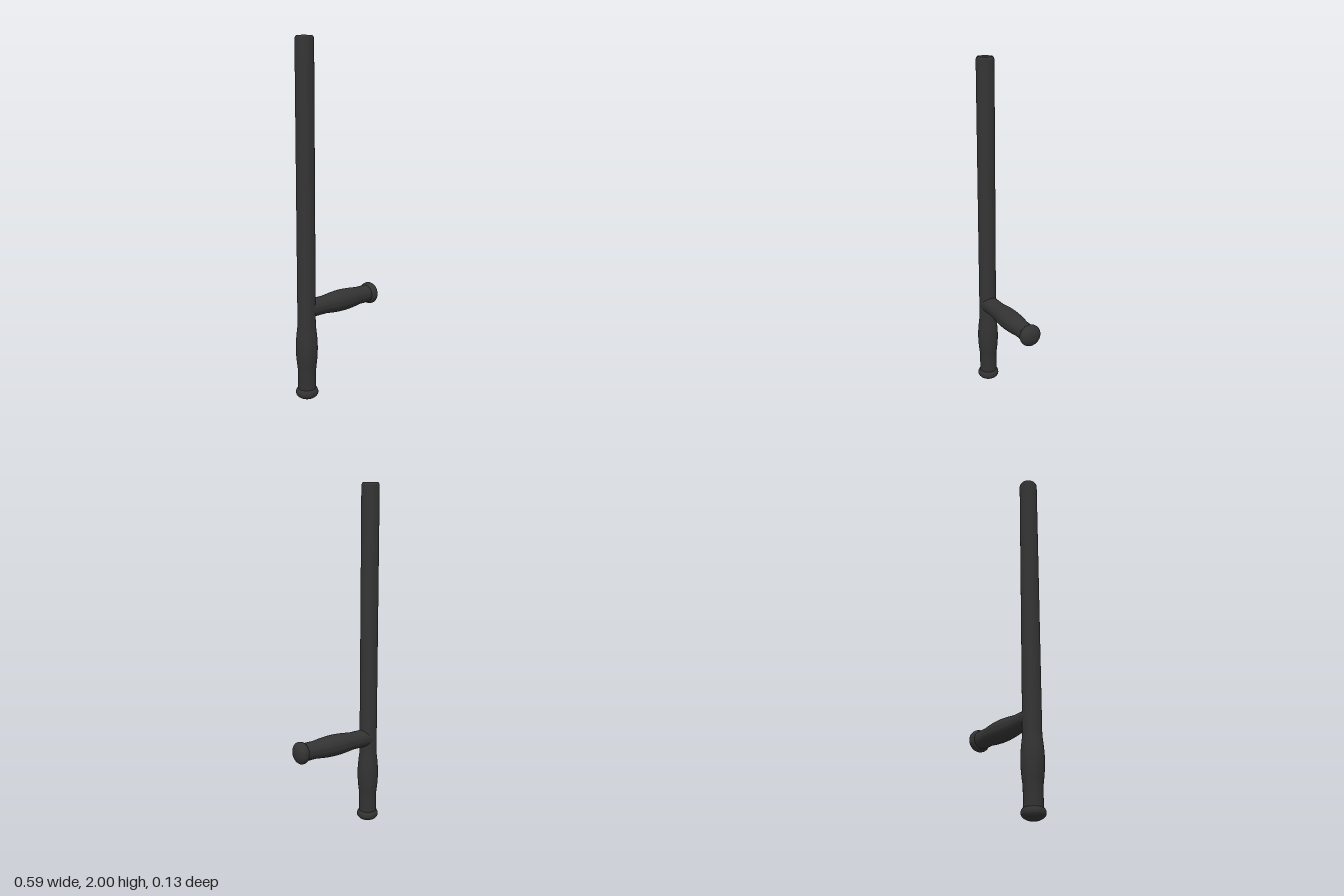
import * as THREE from 'three';
import { toCreasedNormals } from 'three/addons/utils/BufferGeometryUtils.js';

const R = 0.051, SEGMENTS = 48;
const material = new THREE.MeshStandardMaterial({ color: 0x333333 });

// Revolve [radius, height] pairs, listed from bottom to top
function turned(name, pairs) {
  const profile = pairs.map(([r, y]) => new THREE.Vector2(r, y));
  const geometry = toCreasedNormals(new THREE.LatheGeometry(profile, SEGMENTS), 0.6);
  const mesh = new THREE.Mesh(geometry, material);
  mesh.name = name;
  return mesh;
}

// Gentle swelling of the rod between two heights
function bulge(from, to) {
  const pairs = [];
  for (let i = 0; i <= 16; i++) {
    const t = i / 16;
    pairs.push([R + 0.0105 * Math.sin(Math.PI * t), from + (to - from) * t]);
  }
  return pairs;
}

// Mushroom-shaped pommel with its domed end at height 0
function pommel(name) {
  const pairs = [];
  const max = 0.038;
  for (let i = 0; i <= 12; i++) {
    const a = (i / 12) * Math.PI / 2;
    pairs.push([0.0635 * Math.sin(a), max * (1 - Math.cos(a))]);
  }
  pairs.push([0.0625, 0.047], [0.0595, 0.055], [0.055, 0.061], [R, 0.063]);
  return turned(name, pairs);
}

export function createModel() {
  const model = new THREE.Group();
  model.name = 'sideHandleBaton';

  // Long shaft with swollen lower grip and bevelled top
  const shaft = new THREE.Group();
  shaft.name = 'mainShaft';
  shaft.position.x = -0.23;
  shaft.add(
    turned('shaftRod', [
      [R, 0.05], ...bulge(0.17, 0.43),
      [R, 1.982], [0.0495, 1.99], [0.046, 1.997], [0.043, 2], [0, 2],
    ]),
    pommel('shaftPommel'),
  );

  // Side handle, running from its pommel inward to the shaft axis
  const handle = new THREE.Group();
  handle.name = 'sideHandle';
  handle.position.set(0.293, 0.525, 0);
  handle.rotation.z = Math.PI / 2;
  handle.add(
    turned('handleRod', [[R, 0.05], ...bulge(0.133, 0.393), [R, 0.523]]),
    pommel('handlePommel'),
  );

  model.add(shaft, handle);
  return model;
}
